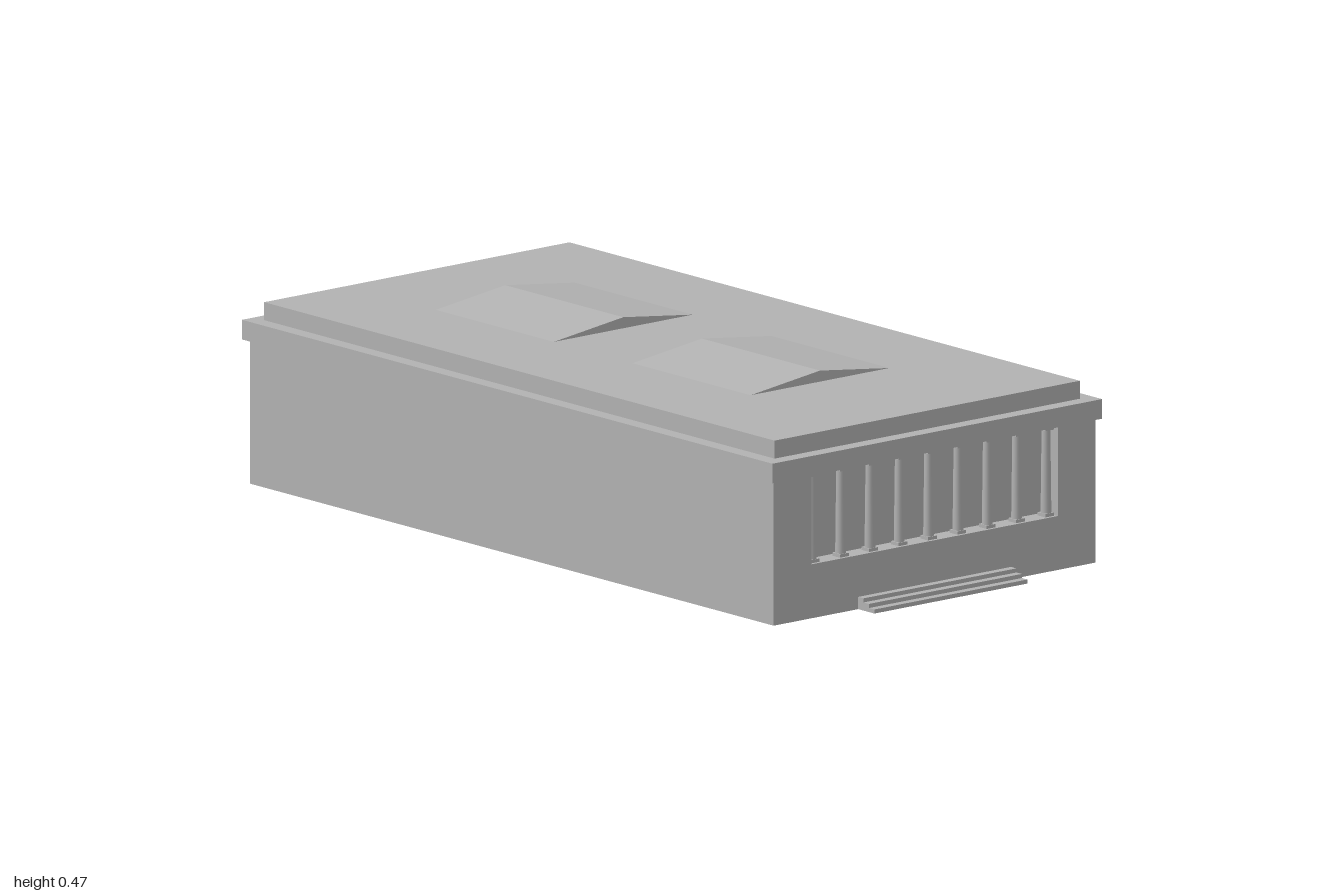
import * as THREE from 'three';

export function createModel() {
  const group = new THREE.Group();
  const stone = new THREE.MeshStandardMaterial({ color: 0xb2b2b2, side: THREE.DoubleSide });
  stone.name = 'greyStone';

  const add = (name, geometry, x = 0, y = 0, z = 0, parent = group) => {
    const mesh = new THREE.Mesh(geometry, stone);
    mesh.name = name;
    mesh.position.set(x, y, z);
    parent.add(mesh);
    return mesh;
  };
  // Box given by its half width, height range and depth range
  const block = (name, hx, y0, y1, z0, z1) =>
    add(name, new THREE.BoxGeometry(hx * 2, y1 - y0, z1 - z0), 0, (y0 + y1) / 2, (z0 + z1) / 2);

  const W = 0.503, H = 0.352, FRONT = 0.94, BACK = -0.985;
  const SILL = 0.132, OPEN = 0.385, PORCH = 0.05;

  // Thin outer walls, open underneath
  for (const s of [-1, 1]) {
    const wall = add('sideWall', new THREE.PlaneGeometry(FRONT - BACK, H), s * W, H / 2, (FRONT + BACK) / 2);
    wall.rotation.y = s * Math.PI / 2;
  }
  add('backWall', new THREE.PlaneGeometry(W * 2, H), 0, H / 2, BACK).rotation.y = Math.PI;

  // Front wall notched around the colonnade
  const face = new THREE.Shape([
    [-W, 0], [W, 0], [W, H], [OPEN, H], [OPEN, SILL], [-OPEN, SILL], [-OPEN, H], [-W, H],
  ].map(([x, y]) => new THREE.Vector2(x, y)));
  add('frontWall', new THREE.ShapeGeometry(face), 0, 0, FRONT);

  // Porch recess behind the columns
  add('porchFloor', new THREE.PlaneGeometry(W * 2, PORCH), 0, SILL, FRONT - PORCH / 2).rotation.x = -Math.PI / 2;
  add('porchBackWall', new THREE.PlaneGeometry(W * 2, H - SILL), 0, (H + SILL) / 2, FRONT - PORCH);
  for (const s of [-1, 1]) {
    const reveal = add('porchReveal', new THREE.PlaneGeometry(PORCH, H - SILL), s * OPEN, (H + SILL) / 2, FRONT - PORCH / 2);
    reveal.rotation.y = -s * Math.PI / 2;
  }

  // Nine tapered columns with square bases and capitals
  const plate = new THREE.BoxGeometry(0.028, 0.008, 0.028);
  const shaft = new THREE.CylinderGeometry(0.0105, 0.013, 0.204, 16, 1, true);
  for (let i = -4; i <= 4; i++) {
    const column = new THREE.Group();
    column.name = 'column';
    column.position.set(i * 0.0917, 0, FRONT - 0.022);
    add('columnBase', plate, 0, 0.136, 0, column);
    add('columnShaft', shaft, 0, 0.242, 0, column);
    add('columnCapital', plate, 0, 0.347, 0, column);
    group.add(column);
  }

  // Entrance steps
  for (let i = 0; i < 3; i++) block('step', 0.239, i * 0.01, (i + 1) * 0.01, FRONT, 1 - i * 0.02);

  // Cornice and attic
  block('cornice', 0.515, H, 0.4, -1, 0.95);
  block('attic', 0.477, 0.4, 0.444, -0.963, 0.913);

  // Two shallow gabled roof lights
  const gable = new THREE.Shape([
    new THREE.Vector2(-0.217, 0), new THREE.Vector2(0.217, 0), new THREE.Vector2(0, 0.027),
  ]);
  for (const z of [0.085, -0.638]) {
    add('roofGable', new THREE.ExtrudeGeometry(gable, { depth: 0.434, bevelEnabled: false }), 0, 0.444, z);
  }
  return group;
}
